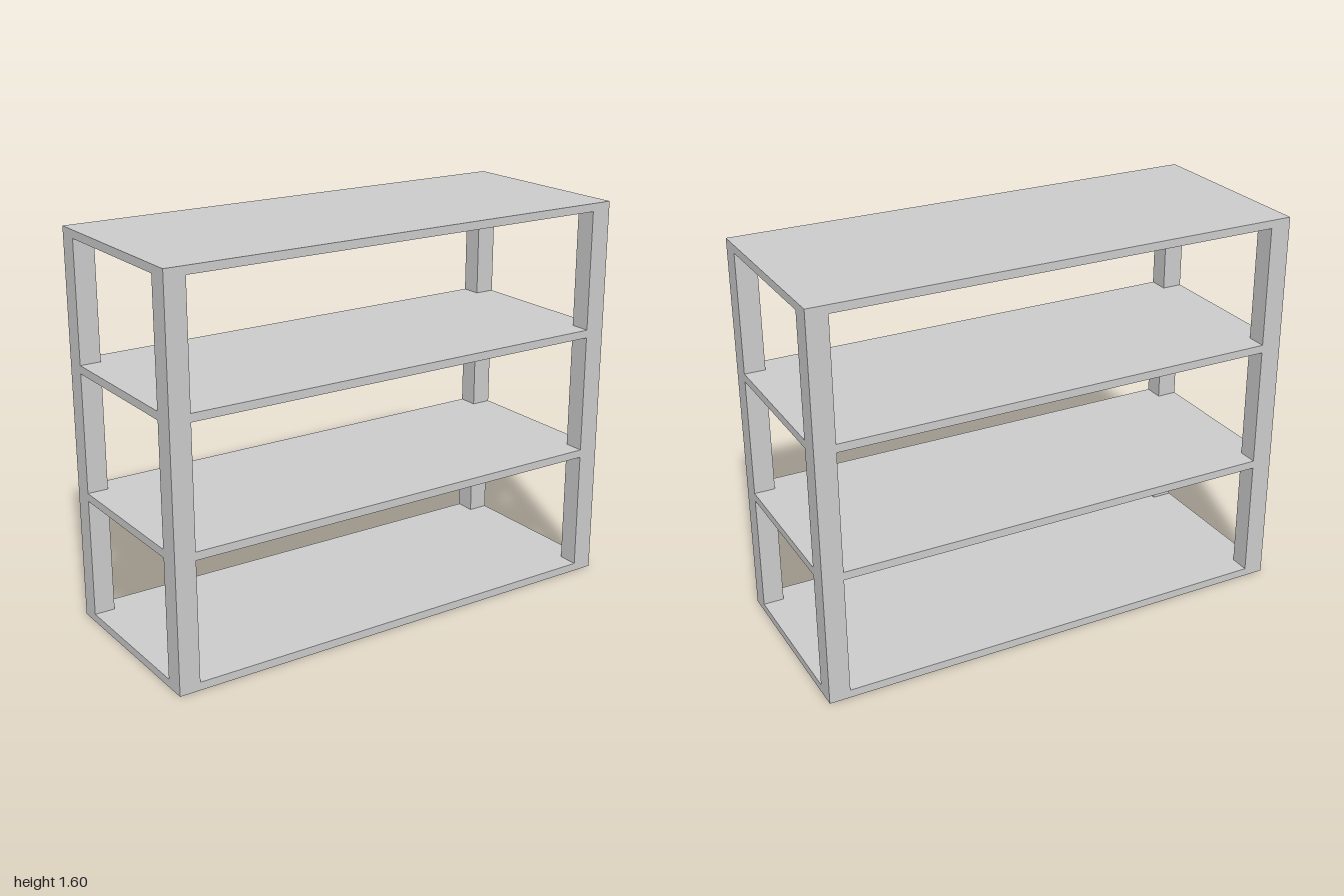
import * as THREE from 'three';

const WIDTH = 2, HEIGHT = 1.6, DEPTH = 0.8;
const BOARD = 0.033; // shelf thickness
const POST = 0.085;  // square post side
const SHELVES = 4;

export function createModel() {
  const model = new THREE.Group();
  model.name = 'shelvingUnit';
  const material = new THREE.MeshStandardMaterial({ color: 0xcccccc });

  const addBox = (parent, name, size, position) => {
    const mesh = new THREE.Mesh(new THREE.BoxGeometry(...size), material);
    mesh.name = name;
    mesh.position.set(...position);
    parent.add(mesh);
  };

  // Evenly spaced boards, flush with the outside of the frame
  const step = (HEIGHT - BOARD) / (SHELVES - 1);
  for (let i = 0; i < SHELVES; i++) {
    const name = i === 0 ? 'bottomShelf' : i === SHELVES - 1 ? 'topShelf' : `middleShelf${i}`;
    addBox(model, name, [WIDTH, BOARD, DEPTH], [0, i * step + BOARD / 2, 0]);
  }

  // Corner posts, one section in each gap between boards
  for (const sx of [-1, 1]) {
    for (const sz of [-1, 1]) {
      const post = new THREE.Group();
      post.name = (sz > 0 ? 'front' : 'back') + (sx > 0 ? 'Left' : 'Right') + 'Post';
      post.position.set(sx * (WIDTH - POST) / 2, 0, sz * (DEPTH - POST) / 2);
      for (let i = 0; i < SHELVES - 1; i++) {
        addBox(post, `postSection${i + 1}`, [POST, step - BOARD, POST], [0, i * step + (step + BOARD) / 2, 0]);
      }
      model.add(post);
    }
  }

  return model;
}
